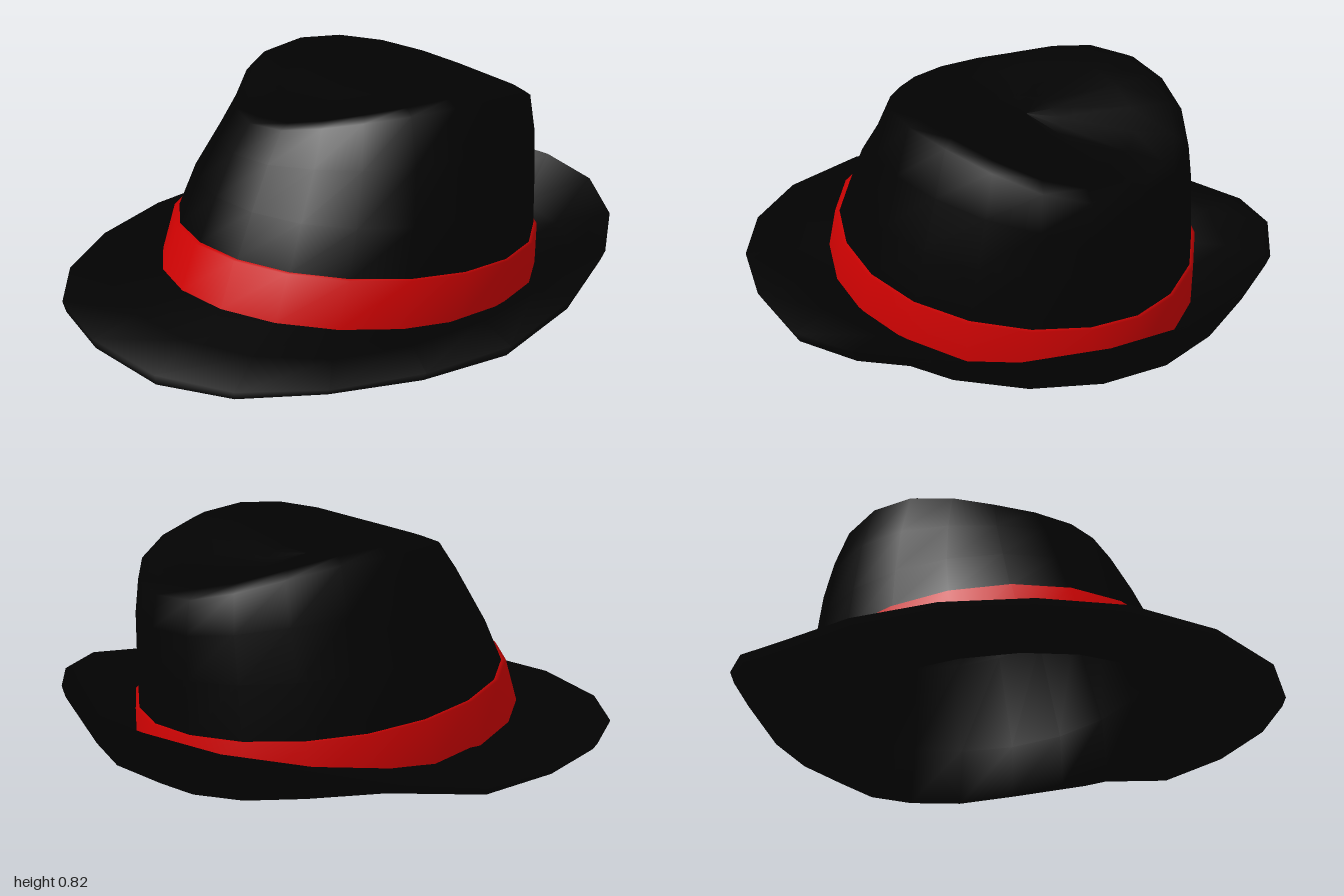
import * as THREE from 'three';

const SIDES = 20;

// One oval ring: half-width w, front z, back z, height given as function of (c, k, z).
// c runs from -1 at the back to 1 at the front; k counts the corners from back to front.
// pinch dents the front quarters, taper narrows the front, power squares or sharpens
// the oval [behind, in front], and skew moves its sides toward the back.
function ring(w, zf, zb, height, { pinch = 0, taper = 0, power = [1.08, 1], skew = 0 } = {}) {
  const points = [];
  const mid = (zf + zb) / 2, half = (zf - zb) / 2;
  for (let i = 0; i < SIDES; i++) {
    const k = Math.min(i, SIDES - i);
    const a = (k / SIDES) * Math.PI * 2;
    const s = Math.max(0, Math.sin(a)), c = -Math.cos(a);
    const side = i > SIDES / 2 ? -1 : 1;
    const dent = 1 - pinch * Math.exp(-(((k - 7.7) / 1.3) ** 2));
    const narrow = 1 - taper * Math.max(0, c) ** 1.5;
    const z = mid + half * c * dent - skew * s ** 3;
    points.push([side * w * s ** power[c > 0 ? 1 : 0] * dent * narrow, height(c, k, z), z]);
  }
  return points;
}

// Height rules: a tilted plane, a saddle (side, front, back), or a list from back to front
const tilt = (y) => (c, k, z) => y + 0.085 * z;
const saddle = (side, front, back) => (c) => side + ((c > 0 ? front : back) - side) * c * c;
const list = (heights) => (c, k) => heights[k];

// Smooth skin through a stack of rings
function loft(name, rings, material) {
  const index = [];
  for (let j = 0; j < rings.length - 1; j++) {
    for (let i = 0; i < SIDES; i++) {
      const n = (i + 1) % SIDES;
      const a = j * SIDES + i, b = j * SIDES + n;
      index.push(a, a + SIDES, b, a + SIDES, b + SIDES, b);
    }
  }
  const geometry = new THREE.BufferGeometry();
  geometry.setAttribute('position', new THREE.Float32BufferAttribute(rings.flat(2), 3));
  geometry.setIndex(index);
  geometry.computeVertexNormals();
  const mesh = new THREE.Mesh(geometry, material);
  mesh.name = name;
  return mesh;
}

export function createModel() {
  const felt = new THREE.MeshStandardMaterial({ color: 0x020202 });
  felt.name = 'black felt';
  const ribbon = new THREE.MeshStandardMaterial({ color: 0xce0202 });
  ribbon.name = 'red ribbon';

  const hat = new THREE.Group();
  hat.name = 'hat';

  // Shapes shared by several rings
  const rim = { power: [0.97, 0.86], skew: 0.045 };
  const bowl = { power: [1, 0.93], skew: 0.02 };
  const shoulder = { pinch: 0.05, taper: 0.02, power: [0.95, 1], skew: -0.02 };
  const edge = { pinch: 0.05, taper: 0.1, power: [0.87, 0.95], skew: -0.045 };

  // Brim: hollow inside, underside, rim, then upper face; turned up at the back
  const rimTop = [0.31, 0.31, 0.285, 0.26, 0.2, 0.13, 0.112, 0.095, 0.08, 0.08, 0.085];
  const rimBottom = [0.28, 0.27, 0.25, 0.22, 0.155, 0.088, 0.078, 0.07, 0.047, 0.04, 0.05];
  const upper = [0.13, 0.135, 0.15, 0.17, 0.185, 0.162, 0.135, 0.117, 0.117, 0.122, 0.128];
  const under = [0.1, 0.1, 0.1, 0.1, 0.1, 0.085, 0.075, 0.07, 0.075, 0.082, 0.09];
  const opening = [0, 0.005, 0.015, 0.035, 0.055, 0.066, 0.068, 0.072, 0.08, 0.09, 0.1];
  hat.add(loft('brimAndLining', [
    ring(0, -0.14, -0.14, saddle(0.69, 0.69, 0.69)),
    ring(0.41, 0.29, -0.66, saddle(0.77, 0.69, 0.65), edge),
    ring(0.5, 0.41, -0.72, saddle(0.64, 0.61, 0.55), shoulder),
    ring(0.585, 0.555, -0.73, tilt(0.28)),
    ring(0.58, 0.61, -0.74, list(opening)),
    ring(0.75, 0.84, -0.9, list(under), bowl),
    ring(0.88, 0.99, -0.99, list(rimBottom), rim),
    ring(0.9, 1, -1, list(rimTop), rim),
    ring(0.76, 0.83, -0.88, list(upper), bowl),
    ring(0.6, 0.63, -0.75, tilt(0.112)),
  ], felt));

  // Crown: leaning front, upright back, pinched front quarters and a dished top
  hat.add(loft('crown', [
    ring(0.61, 0.63, -0.75, tilt(0.11)),
    ring(0.613, 0.58, -0.752, tilt(0.28)),
    ring(0.575, 0.51, -0.752, saddle(0.45, 0.48, 0.4), { power: [1.02, 1], skew: -0.01 }),
    ring(0.53, 0.44, -0.75, saddle(0.64, 0.62, 0.55), shoulder),
    ring(0.48, 0.37, -0.735, saddle(0.805, 0.715, 0.66), edge),
    ring(0.44, 0.33, -0.69, saddle(0.825, 0.73, 0.69), edge),
    ring(0.32, 0.22, -0.56, saddle(0.795, 0.72, 0.69), edge),
    ring(0.09, 0.02, -0.3, saddle(0.74, 0.71, 0.69)),
    ring(0, -0.14, -0.14, saddle(0.72, 0.72, 0.72)),
  ], felt));

  // Ribbon band with a thin upper edge
  hat.add(loft('band', [
    ring(0.633, 0.655, -0.765, tilt(0.115)),
    ring(0.627, 0.597, -0.765, tilt(0.28)),
    ring(0.605, 0.572, -0.745, tilt(0.282)),
  ], ribbon));

  return hat;
}
